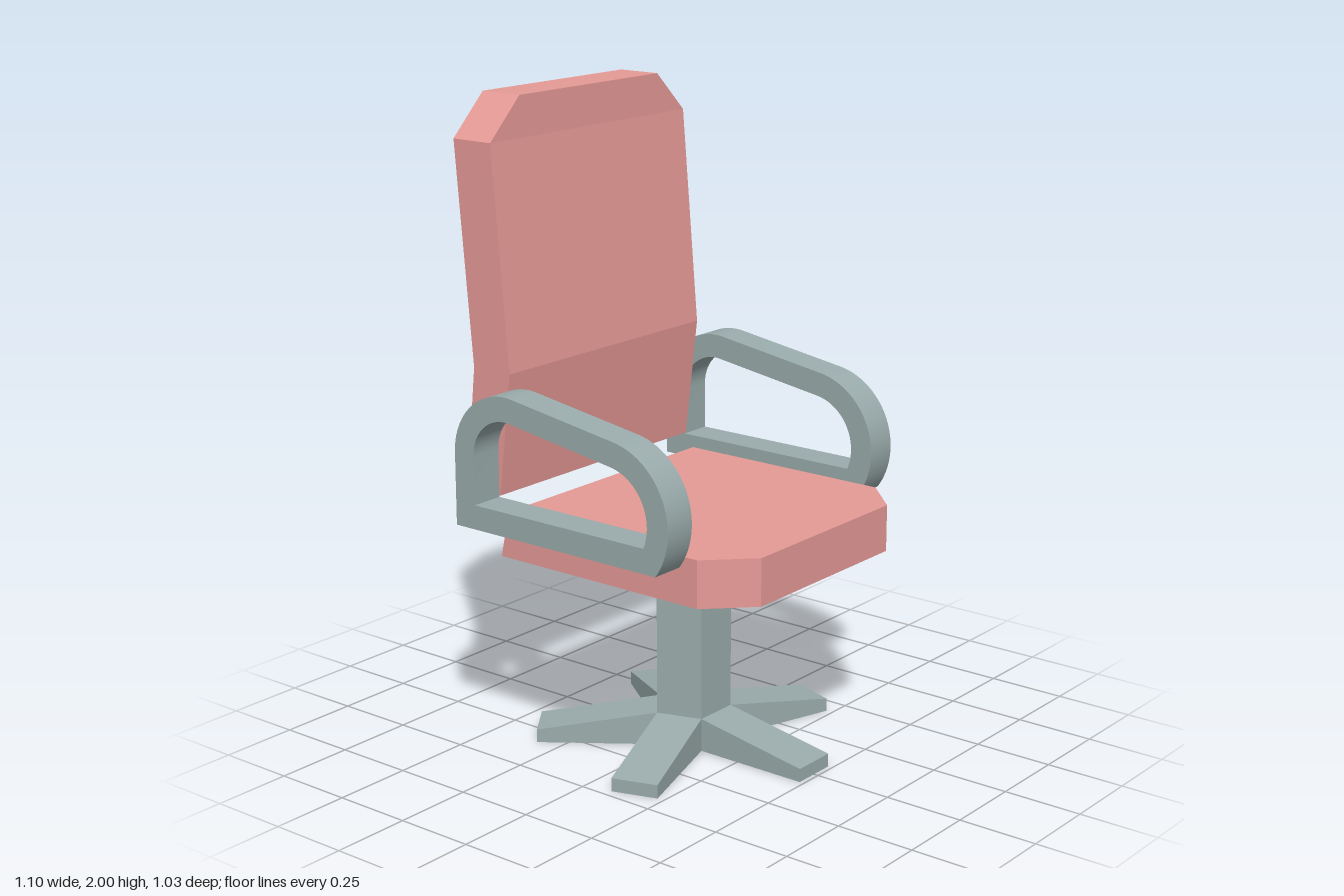
import * as THREE from 'three';
import { toCreasedNormals } from 'three/addons/utils/BufferGeometryUtils.js';

// Skin a closed solid over four-cornered sections (counterclockwise seen from the last one)
function loft(sections) {
  const pos = [];
  const quad = (a, b, c, d) => pos.push(...a, ...b, ...c, ...a, ...c, ...d);
  const first = sections[0], last = sections[sections.length - 1];
  for (let i = 0; i < sections.length - 1; i++) {
    const p = sections[i], q = sections[i + 1];
    for (let j = 0; j < 4; j++) {
      const k = (j + 1) % 4;
      quad(p[j], p[k], q[k], q[j]);
    }
  }
  quad(first[3], first[2], first[1], first[0]);
  quad(...last);
  const geo = new THREE.BufferGeometry();
  geo.setAttribute('position', new THREE.Float32BufferAttribute(pos, 3));
  geo.computeVertexNormals();
  return geo;
}

// Section across z: half width, bottom and top height, z at bottom and top
const sectionZ = (w, y0, y1, z0, z1 = z0) =>
  [[-w, y0, z0], [w, y0, z0], [w, y1, z1], [-w, y1, z1]];
// Section across y: half width, front and back depth
const sectionY = (w, y, front, back) =>
  [[-w, y, front], [w, y, front], [w, y, back], [-w, y, back]];

// One closed loop of the armrest, drawn with z along the shape's x axis
function traceArm(path, inset, base) {
  const tilt = 1.415;
  const rFront = 0.23 - inset, cz = 0.138, cy = 0.877;
  const start = Math.asin((base - cy) / rFront);
  path.moveTo(cz + rFront * Math.cos(start), base);
  path.absarc(cz, cy, rFront, start, tilt, false);
  path.absarc(-0.24, 0.965, 0.2 - inset, tilt, Math.PI, false);
  path.lineTo(-0.44 + inset, base);
  path.closePath();
  return path;
}

export function createModel() {
  const model = new THREE.Group();
  model.name = 'officeChair';
  const fabric = new THREE.MeshStandardMaterial({ color: 0xe69a96, flatShading: true });
  const metal = new THREE.MeshStandardMaterial({ color: 0x9aabab, flatShading: true });
  const armMetal = new THREE.MeshStandardMaterial({ color: 0x9aabab });

  const add = (name, geo, mat, parent = model) => {
    const mesh = new THREE.Mesh(geo, mat);
    mesh.name = name;
    parent.add(mesh);
    return mesh;
  };

  // Seat with chamfered front corners and a slanted rear edge
  add('seat', loft([
    sectionZ(0.443, 0.63, 0.775, -0.36, -0.33),
    sectionZ(0.443, 0.63, 0.775, 0.387),
    sectionZ(0.315, 0.63, 0.775, 0.516),
  ]), fabric);

  // Backrest, bent at the lumbar line, with chamfered top corners
  add('backrest', loft([
    sectionY(0.443, 0.82, -0.36, -0.495),
    sectionY(0.443, 1.2, -0.314, -0.456),
    sectionY(0.443, 1.875, -0.371, -0.516),
    sectionY(0.315, 2.0, -0.371, -0.516),
  ]), fabric);

  // Armrest loops on both sides
  const shape = traceArm(new THREE.Shape(), 0, 0.74);
  shape.holes.push(traceArm(new THREE.Path(), 0.075, 0.815));
  const width = 0.107;
  const armGeo = toCreasedNormals(
    new THREE.ExtrudeGeometry(shape, { depth: width, bevelEnabled: false, curveSegments: 20 })
      .rotateY(-Math.PI / 2), Math.PI / 6);
  add('leftArmrest', armGeo, armMetal).position.x = 0.443 + width;
  add('rightArmrest', armGeo, armMetal).position.x = -0.443;

  // Pedestal: five-sided column with one tapering foot on each side
  const pedestal = new THREE.Group();
  pedestal.name = 'pedestal';
  pedestal.position.z = 0.012;
  model.add(pedestal);
  const radius = 0.124, height = 0.63;
  const columnGeo = new THREE.CylinderGeometry(radius, radius, height, 5, 1, false, Math.PI / 5);
  add('column', columnGeo.translate(0, height / 2, 0), metal, pedestal);

  const halfSide = radius * Math.sin(Math.PI / 5);
  const apothem = radius * Math.cos(Math.PI / 5);
  const footGeo = loft([
    sectionZ(halfSide, 0, 0.105, apothem),
    sectionZ(halfSide, 0, 0.042, 0.473),
  ]);
  for (let i = 0; i < 5; i++) {
    add('foot' + (i + 1), footGeo, metal, pedestal).rotation.y = i * Math.PI * 2 / 5;
  }

  return model;
}
